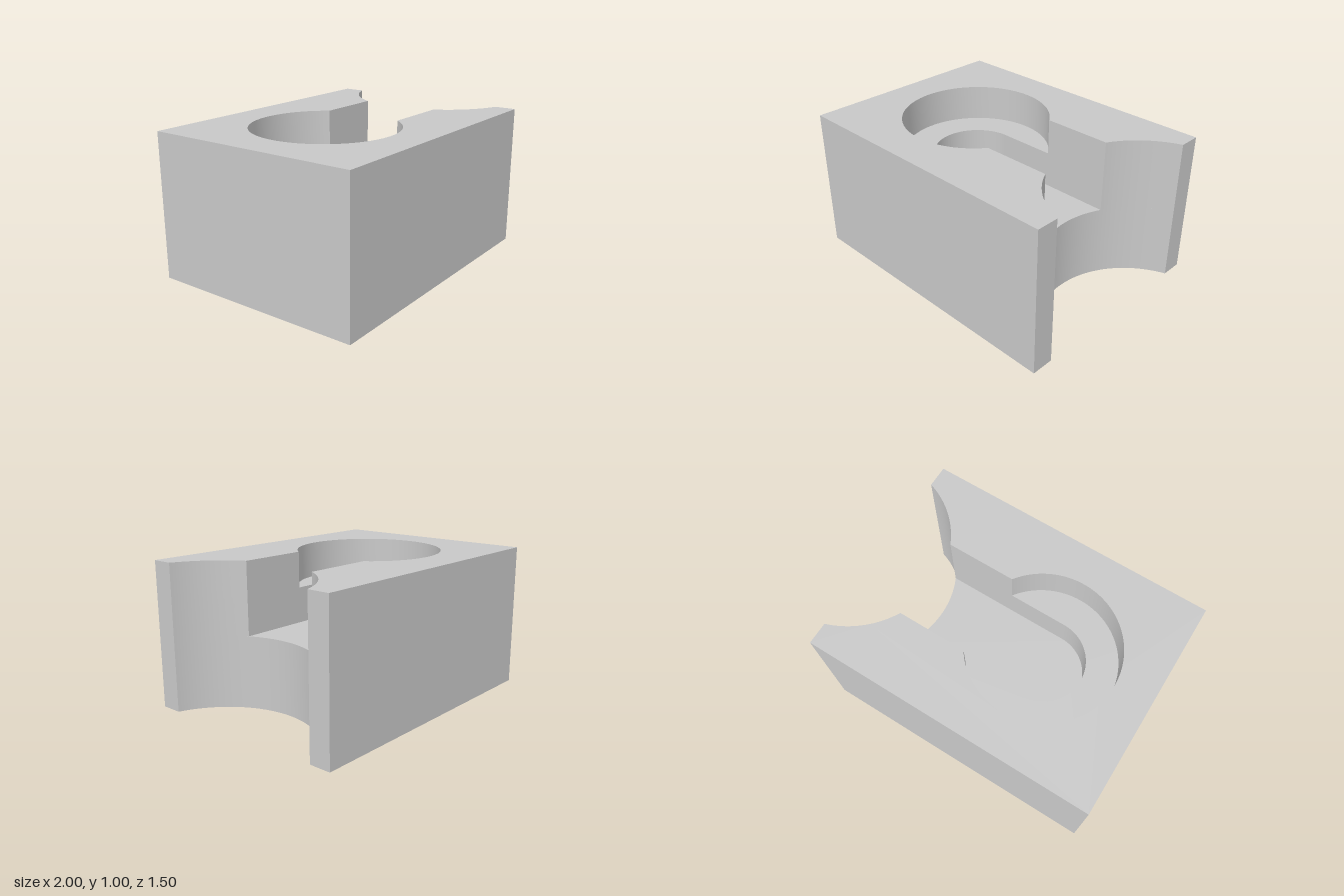
import * as THREE from 'three';
import { toCreasedNormals } from 'three/addons/utils/BufferGeometryUtils.js';

const HALF_X = 1, HALF_Z = 0.75;
const BITE = { x: 1.2, r: Math.sqrt(0.4) }; // round notch through the +x end
const POCKET_X = -0.25, SLOT_HALF = 0.287;

// Plan outline of one layer; pocketRadius cuts a round-ended slot open to the notch.
function outline(pocketRadius) {
  const shape = new THREE.Shape();
  const a = Math.acos((BITE.x - HALF_X) / BITE.r);
  shape.moveTo(-HALF_X, -HALF_Z);
  shape.lineTo(HALF_X, -HALF_Z);
  if (pocketRadius) {
    const b = Math.asin(SLOT_HALF / BITE.r);
    const c = Math.asin(SLOT_HALF / pocketRadius);
    shape.absarc(BITE.x, 0, BITE.r, Math.PI + a, Math.PI + b, true);
    shape.absarc(POCKET_X, 0, pocketRadius, -c, c, true);
    shape.absarc(BITE.x, 0, BITE.r, Math.PI - b, Math.PI - a, true);
  } else {
    shape.absarc(BITE.x, 0, BITE.r, Math.PI + a, Math.PI - a, true);
  }
  shape.lineTo(HALF_X, HALF_Z);
  shape.lineTo(-HALF_X, HALF_Z);
  shape.closePath();
  return shape;
}

export function createModel() {
  const group = new THREE.Group();
  group.name = 'slottedBlock';
  const grey = new THREE.MeshStandardMaterial({ color: 0xc8c8c8 });
  grey.name = 'lightGrey';

  // Stacked layers: solid base, narrow slot, wide round pocket
  const layers = [
    ['base', 0, 0.5, 0],
    ['slotLayer', 0.5, 0.25, SLOT_HALF],
    ['pocketLayer', 0.75, 0.25, 0.5],
  ];
  for (const [name, y, height, pocketRadius] of layers) {
    const geometry = new THREE.ExtrudeGeometry(outline(pocketRadius), {
      depth: height, bevelEnabled: false, curveSegments: 64,
    });
    geometry.rotateX(-Math.PI / 2);
    const mesh = new THREE.Mesh(toCreasedNormals(geometry, 0.4), grey);
    mesh.name = name;
    mesh.position.y = y;
    group.add(mesh);
  }
  return group;
}
